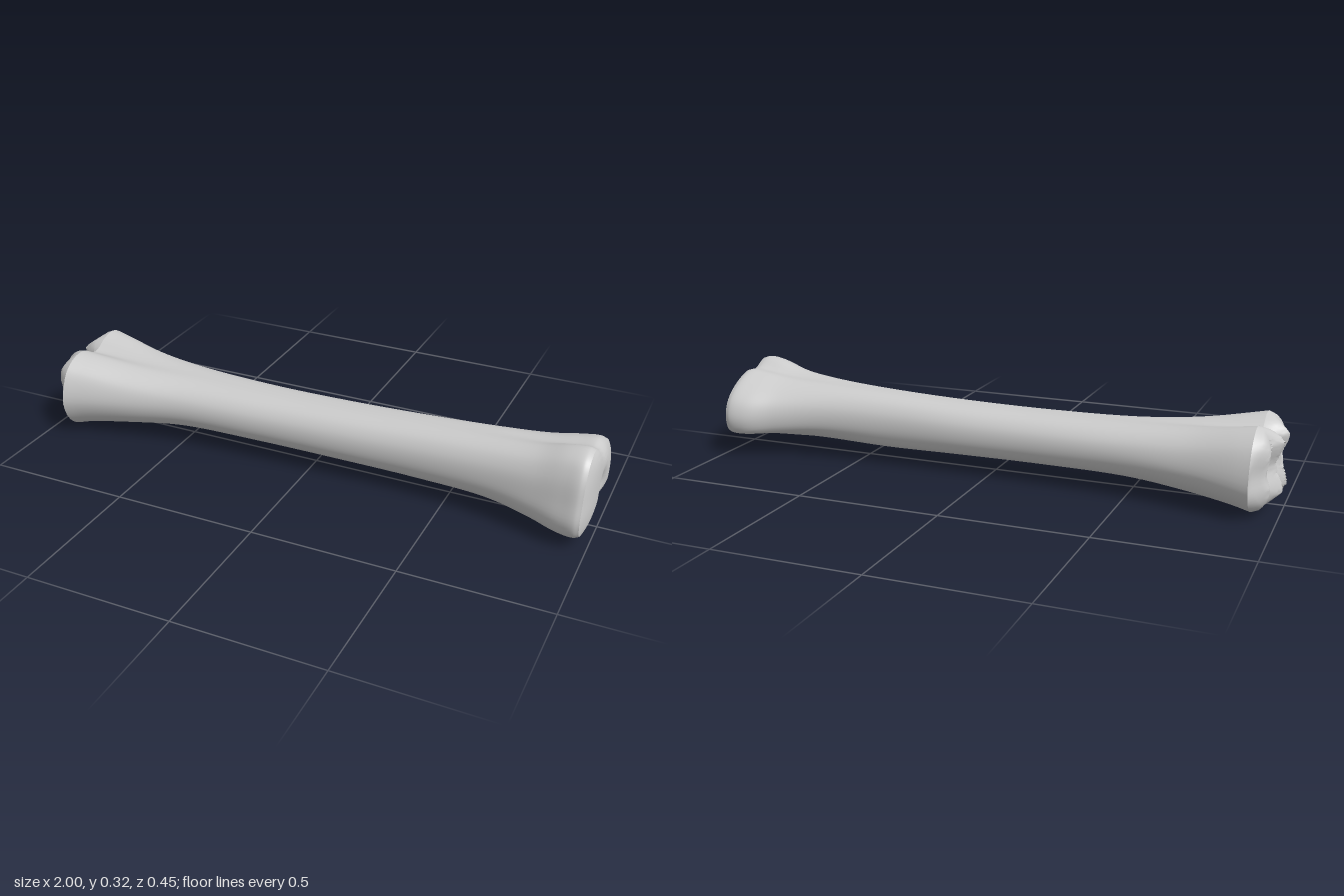
import * as THREE from 'three';
import { toCreasedNormals } from 'three/addons/utils/BufferGeometryUtils.js';

const AROUND = 80, ALONG = 72, CAP = 18;

// Key cross-sections as [z, y]: from the top, round by +z, the underside and -z
const PROXIMAL = [[0, .29], [.06, .318], [.12, .3], [.155, .25], [.175, .17], [.185, .1], [.165, .05], [.11, .035],
  [.03, .078], [-.05, .085], [-.12, .085], [-.195, .09], [-.215, .14], [-.2, .2], [-.15, .25], [-.06, .292]];
const SHAFT = [[0, 1], [.4, .95], [.72, .75], [.93, .4], [1, 0], [.95, -.45], [.75, -.85], [.42, -1],
  [0, -.85], [-.42, -1], [-.75, -.85], [-.95, -.45], [-1, 0], [-.93, .4], [-.72, .75], [-.4, .95]];
const DISTAL = [[0, .25], [.07, .282], [.13, .28], [.19, .24], [.225, .14], [.2, .06], [.15, .018], [.07, 0],
  [-.02, .035], [-.08, .01], [-.13, .01], [-.2, .05], [-.23, .11], [-.2, .23], [-.13, .285], [-.07, .28]];

// Stations: x, zMin, zMax, yMin, yMax, distal weight, proximal weight
const STATIONS = [
  [-.915, -.228, .222, .002, .284, 1, 0],
  [-.86, -.215, .205, .015, .276, .9, 0],
  [-.7, -.175, .165, .04, .255, .45, 0],
  [-.5, -.145, .125, .062, .241, .1, 0],
  [-.2, -.125, .107, .065, .236, 0, 0],
  [.1, -.12, .1, .063, .24, 0, 0],
  [.4, -.12, .1, .06, .252, 0, 0],
  [.65, -.14, .12, .06, .268, 0, .25],
  [.8, -.175, .15, .045, .285, 0, .6],
  [.9, -.214, .177, .035, .311, 0, 1],
  [.955, -.22, .186, .034, .318, 0, 1],
  [.975, -.212, .18, .04, .312, 0, 1],
];

// Scale an outline to the unit box
function normalise(points) {
  const box = new THREE.Box2().setFromPoints(points.map(([z, y]) => new THREE.Vector2(z, y)));
  return points.map(([z, y]) => [(z - box.min.x) / (box.max.x - box.min.x), (y - box.min.y) / (box.max.y - box.min.y)]);
}

// Piecewise linear lookup in [position, value] pairs
function lookup(table, v) {
  const i = table.findIndex(([p]) => p >= v);
  if (i < 0) return table[table.length - 1][1];
  if (i === 0) return table[0][1];
  const [a, b] = [table[i - 1], table[i]];
  return THREE.MathUtils.mapLinear(v, a[0], b[0], a[1], b[1]);
}

// Closed-ring skin over rows of equal length
function skin(rows) {
  const n = rows[0].length, index = [];
  for (let i = 0; i < rows.length - 1; i++) for (let j = 0; j < n; j++) {
    const a = i * n + j, b = i * n + (j + 1) % n;
    index.push(a, b, a + n, b, b + n, a + n);
  }
  const geometry = new THREE.BufferGeometry().setFromPoints(rows.flat());
  geometry.setIndex(index);
  geometry.computeVertexNormals();
  return geometry;
}

// Rows shrinking from a rim to a centre, with x given by a rule
function capRows(rim, centreY, centreZ, xRule) {
  return Array.from({ length: CAP + 1 }, (_, k) => {
    const t = Math.max(1 - k / CAP, .001);
    return rim.map(p => {
      const y = centreY + (p.y - centreY) * t, z = centreZ + (p.z - centreZ) * t;
      return new THREE.Vector3(p.x + xRule(t, y, z), y, z);
    });
  });
}

const bump = (d, width) => Math.exp(-(d * d) / (width * width));

export function createModel() {
  const group = new THREE.Group();
  group.name = 'longBone';
  const material = new THREE.MeshStandardMaterial({ color: 0xcccccc });
  const add = (name, geometry) => {
    const mesh = new THREE.Mesh(geometry, material);
    mesh.name = name;
    group.add(mesh);
  };

  // Blend the key sections into a smooth ring at every station
  const [prox, mid, dist] = [PROXIMAL, SHAFT, DISTAL].map(normalise);
  const rings = STATIONS.map(([x, z0, z1, y0, y1, d, p]) => {
    const points = mid.map((m, i) => {
      const [u, v] = [0, 1].map(c => m[c] * (1 - d - p) + dist[i][c] * d + prox[i][c] * p);
      return new THREE.Vector3(x, y0 + (y1 - y0) * v, z0 + (z1 - z0) * u);
    });
    const curve = new THREE.CatmullRomCurve3(points, true);
    return Array.from({ length: AROUND }, (_, j) => curve.getPoint(j / AROUND));
  });

  // Shaft: smooth rails through the rings
  const rails = rings[0].map((_, j) => new THREE.CatmullRomCurve3(rings.map(r => r[j])));
  const rows = Array.from({ length: ALONG + 1 }, (_, i) => rails.map(r => r.getPoint(i / ALONG)));
  add('shaft', skin(rows));

  // Upper joint face: slightly domed with an off-centre pit
  const top = capRows(rows[ALONG], .18, -.02, (t, y, z) =>
    .022 * (1 - t ** 4) + .008 * bump(z + .06, .06) * (1 - t)
    - .03 * bump(z + .025, .03) * bump(y - .14, .05) * (1 - t * t));
  add('upperJointFace', toCreasedNormals(skin(top), .7));

  // Lower joint: paired ridged condyles with valleys between
  const ridges = [[0, .025], [.05, .085], [.105, .048], [.16, .078], [.23, .01]];
  const bottom = capRows(rows[0], .145, 0, (t, y, z) => {
    const rise = Math.sqrt(Math.min(1, (1 - t) / .4));
    return -rise * (lookup(ridges, Math.abs(z)) - .025 * bump(y - .15, .05));
  });
  add('lowerJointCondyles', toCreasedNormals(skin(bottom.reverse()), .7));

  return group;
}
